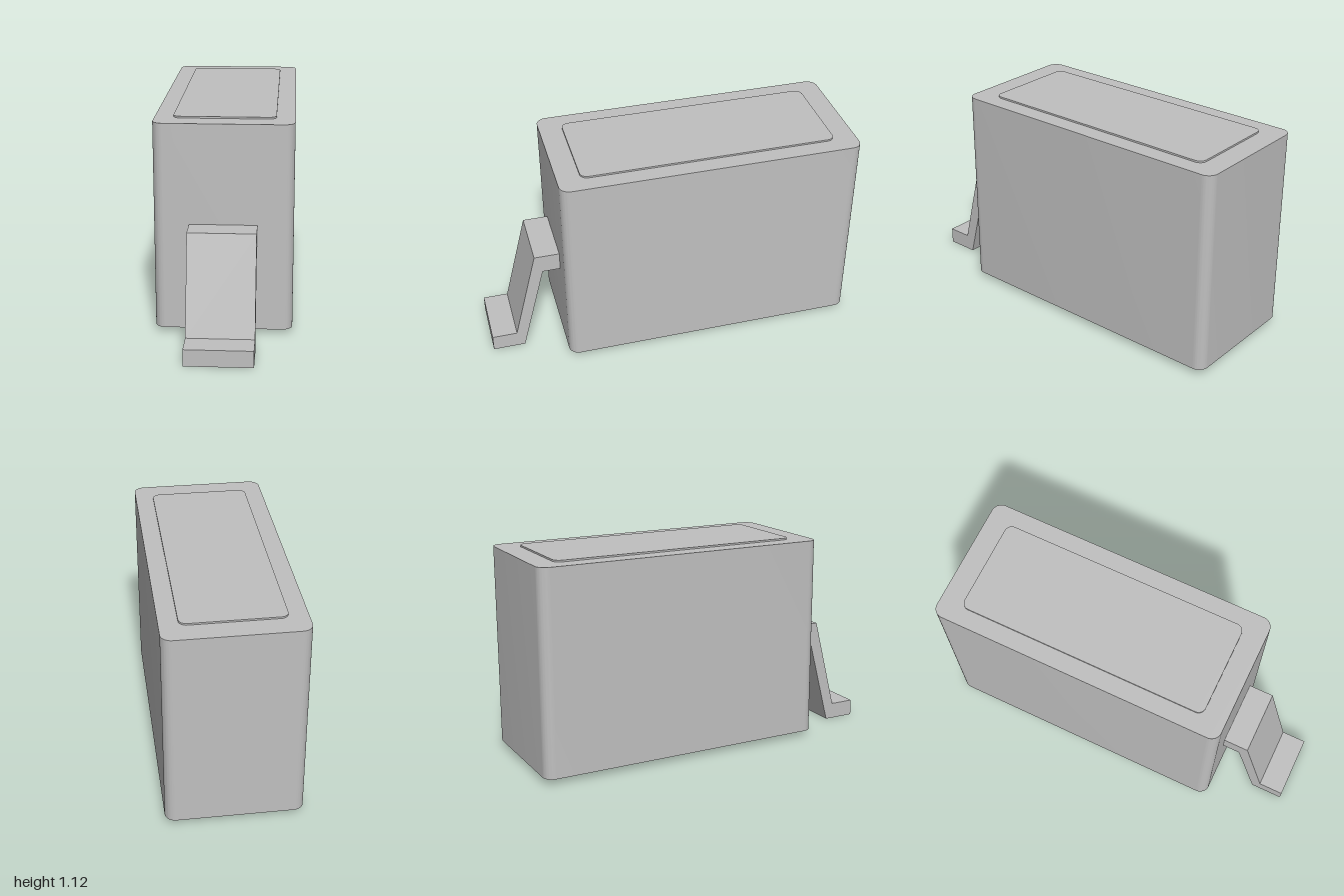
import * as THREE from 'three';
import { toCreasedNormals } from 'three/addons/utils/BufferGeometryUtils.js';

const grey = new THREE.MeshStandardMaterial({ color: 0xc0c0c0 });
grey.name = 'grey';

// Upright block with rounded vertical edges, spanning the given z and y ranges
function roundedBlock(name, halfWidth, zBack, zFront, yBottom, yTop, r) {
  const w = halfWidth, b = -zBack, f = -zFront;
  const s = new THREE.Shape();
  s.moveTo(-w + r, f);
  s.lineTo(w - r, f);
  s.absarc(w - r, f + r, r, -Math.PI / 2, 0);
  s.absarc(w - r, b - r, r, 0, Math.PI / 2);
  s.absarc(-w + r, b - r, r, Math.PI / 2, Math.PI);
  s.absarc(-w + r, f + r, r, Math.PI, Math.PI * 1.5);
  const g = new THREE.ExtrudeGeometry(s, { depth: yTop - yBottom, bevelEnabled: false, curveSegments: 8 });
  g.rotateX(-Math.PI / 2).translate(0, yBottom, 0);
  const mesh = new THREE.Mesh(toCreasedNormals(g, Math.PI / 6), grey);
  mesh.name = name;
  return mesh;
}

// Bent strip leaving the front face, sloping down to a flat foot
function bentLead() {
  const profile = [
    [0.6, 0.593], [0.735, 0.593], [0.865, 0.088], [1, 0.088],
    [1, 0], [0.825, 0], [0.695, 0.493], [0.6, 0.493],
  ].map(([z, y]) => new THREE.Vector2(z, y));
  const width = 0.346;
  const g = new THREE.ExtrudeGeometry(new THREE.Shape(profile), { depth: width, bevelEnabled: false });
  g.rotateY(-Math.PI / 2).translate(width / 2, 0, 0);
  const mesh = new THREE.Mesh(g, grey);
  mesh.name = 'bentLead';
  return mesh;
}

export function createModel() {
  const model = new THREE.Group();
  model.name = 'component';
  model.add(
    roundedBlock('body', 0.355, -1, 0.6, 0.03, 1.112, 0.055),
    roundedBlock('topPlate', 0.26, -0.88, 0.478, 1.112, 1.121, 0.04),
    bentLead(),
  );
  return model;
}
